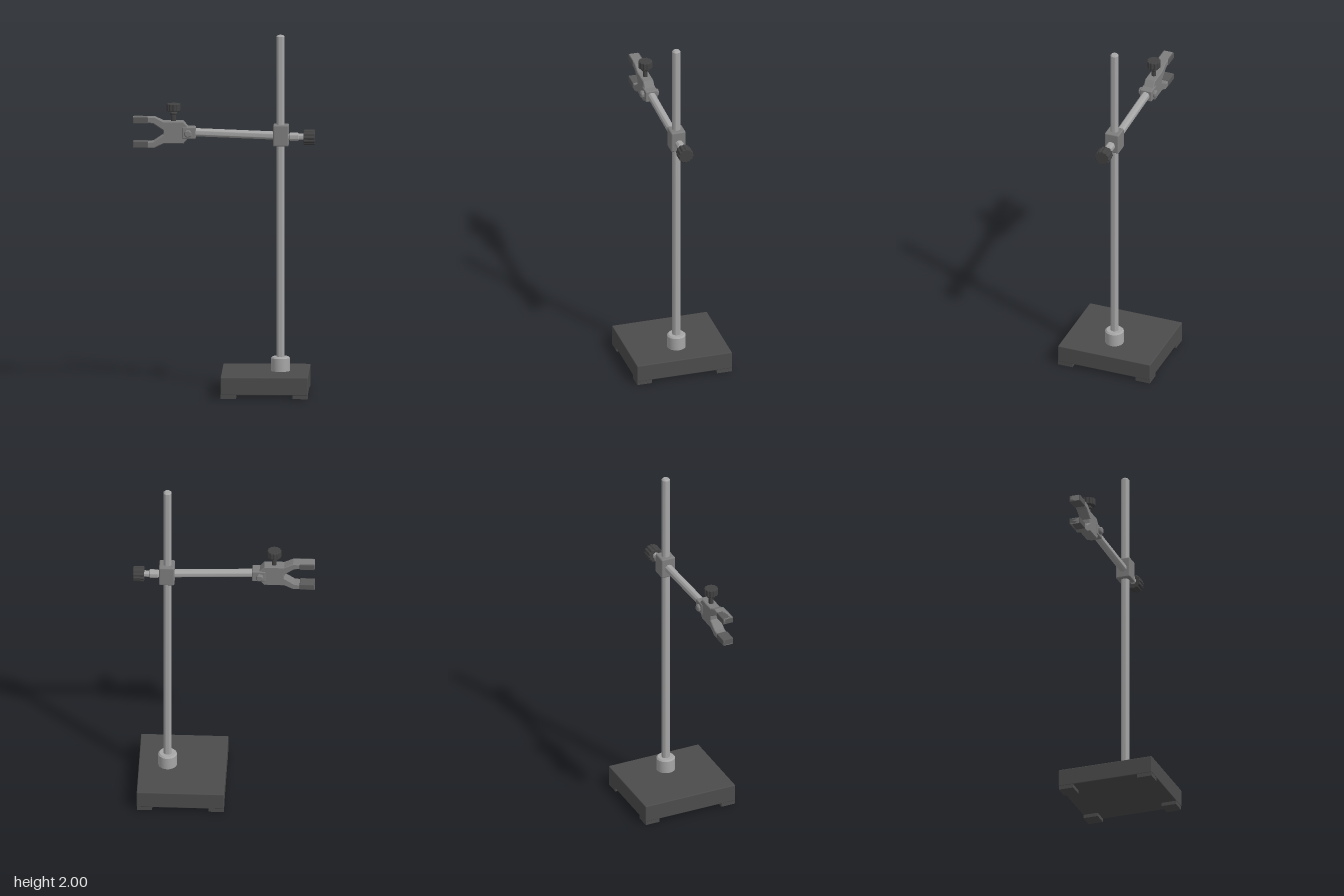
import * as THREE from 'three';
import { RoundedBoxGeometry } from 'three/addons/geometries/RoundedBoxGeometry.js';
import { toCreasedNormals } from 'three/addons/utils/BufferGeometryUtils.js';

const paint = (name, color) => {
  const m = new THREE.MeshStandardMaterial({ color });
  m.name = name;
  return m;
};

export function createModel() {
  const model = new THREE.Group();
  model.name = 'clampStand';
  const baseGrey = paint('base grey', 0x4c4c4c);
  const steel = paint('steel', 0xa6a6a6);
  const castGrey = paint('cast grey', 0x7e7e7e);
  const knobGrey = paint('knob grey', 0x424242);
  const padGrey = paint('pad grey', 0x5a5a5a);

  const add = (name, geometry, material, x = 0, y = 0, z = 0, parent = model) => {
    const mesh = new THREE.Mesh(geometry, material);
    mesh.name = name;
    mesh.position.set(x, y, z);
    parent.add(mesh);
    return mesh;
  };
  // Turned part with bevelled ends, centred on its own axis (y)
  const turned = (r, h, bevel = 0.006, sides = 32) => {
    const pts = [[0, -h / 2], [r - bevel, -h / 2], [r, -h / 2 + bevel],
      [r, h / 2 - bevel], [r - bevel, h / 2], [0, h / 2]].map(p => new THREE.Vector2(...p));
    return toCreasedNormals(new THREE.LatheGeometry(pts, sides), 0.6);
  };
  // Outline in x and y, given depth along z
  const plate = (points, depth, bevel = 0.003) => {
    const shape = new THREE.Shape(points.map(p => new THREE.Vector2(...p)));
    const g = new THREE.ExtrudeGeometry(shape, {
      depth: depth - 2 * bevel, bevelEnabled: true, bevelSize: bevel,
      bevelOffset: -bevel, bevelThickness: bevel, bevelSegments: 1 });
    g.translate(0, 0, bevel - depth / 2);
    return g;
  };
  // Knob with a fluted rim
  const knob = (r, h) => {
    const pts = [];
    for (let i = 0; i < 48; i++) {
      const a = i / 48 * Math.PI * 2;
      const rr = i % 4 < 2 ? r : r * 0.92;
      pts.push([Math.cos(a) * rr, Math.sin(a) * rr]);
    }
    return plate(pts, h, 0.003).rotateX(-Math.PI / 2);
  };

  // Base slab on four corner feet
  const baseX = 0.23;
  add('base', new RoundedBoxGeometry(0.485, 0.1, 0.55, 2, 0.005), baseGrey, baseX, 0.07, 0);
  for (const sx of [-1, 1]) for (const sz of [-1, 1]) {
    add('foot', new THREE.BoxGeometry(0.085, 0.03, 0.085), baseGrey,
      baseX + sx * 0.199, 0.015, sz * 0.231);
  }

  // Upright rod in its collar
  const rodX = 0.313;
  add('collar', turned(0.052, 0.09, 0.008), steel, rodX, 0.155, 0);
  add('uprightRod', turned(0.023, 1.86, 0.008), steel, rodX, 1.07, 0);

  // Boss head with its tightening screw
  add('bossHead', new RoundedBoxGeometry(0.086, 0.12, 0.084, 2, 0.008), castGrey, rodX + 0.003, 1.44, 0);
  const screw = add('bossScrew', turned(0.018, 0.12), steel, 0.4, 1.43, 0);
  const collar = add('bossScrewCollar', turned(0.024, 0.055), steel, 0.388, 1.431, 0);
  const bossKnob = add('bossKnob', knob(0.043, 0.062), knobGrey, 0.473, 1.428, 0);
  for (const part of [screw, collar, bossKnob]) part.rotation.z = Math.PI / 2;

  // Slightly tilted arm
  const from = new THREE.Vector3(-0.18, 1.455, 0), to = new THREE.Vector3(0.32, 1.436, 0);
  const arm = add('arm', turned(0.023, from.distanceTo(to)), steel);
  arm.position.copy(from).lerp(to, 0.5);
  arm.quaternion.setFromUnitVectors(new THREE.Vector3(0, 1, 0), to.clone().sub(from).normalize());

  // Clamp: hinge block, forked body, jaw pads and thumb screw
  const clamp = new THREE.Group();
  clamp.name = 'clamp';
  model.add(clamp);
  add('hingeBlock', new RoundedBoxGeometry(0.075, 0.066, 0.07, 2, 0.006), castGrey, -0.194, 1.453, 0, clamp);
  const pin = add('hingePin', turned(0.021, 0.105), castGrey, -0.2, 1.451, 0.002, clamp);
  pin.rotation.x = Math.PI / 2;
  const upper = [[-0.505, 0.054], [-0.505, 0.086], [-0.385, 0.086], [-0.335, 0.062],
    [-0.225, 0.062], [-0.198, 0.03]];
  const inner = [[-0.425, 0.054], [-0.392, 0.05], [-0.335, 0.012]];
  const flip = points => points.map(([x, y]) => [x, -y]);
  const outline = [...upper, ...flip(upper).reverse(), ...flip(inner), ...[...inner].reverse()];
  add('forkedBody', plate(outline, 0.06, 0.004), castGrey, 0, 1.455, 0, clamp);
  for (const s of [-1, 1]) {
    add('jawPad', new RoundedBoxGeometry(0.084, 0.036, 0.064, 1, 0.004), padGrey,
      -0.463, 1.455 + s * 0.068, 0, clamp);
  }
  add('thumbScrew', turned(0.013, 0.08, 0.003), knobGrey, -0.28, 1.54, 0, clamp);
  add('thumbScrewCollar', turned(0.021, 0.016, 0.004), knobGrey, -0.28, 1.56, 0, clamp);
  add('thumbKnob', knob(0.039, 0.042), knobGrey, -0.28, 1.593, 0, clamp);

  return model;
}
